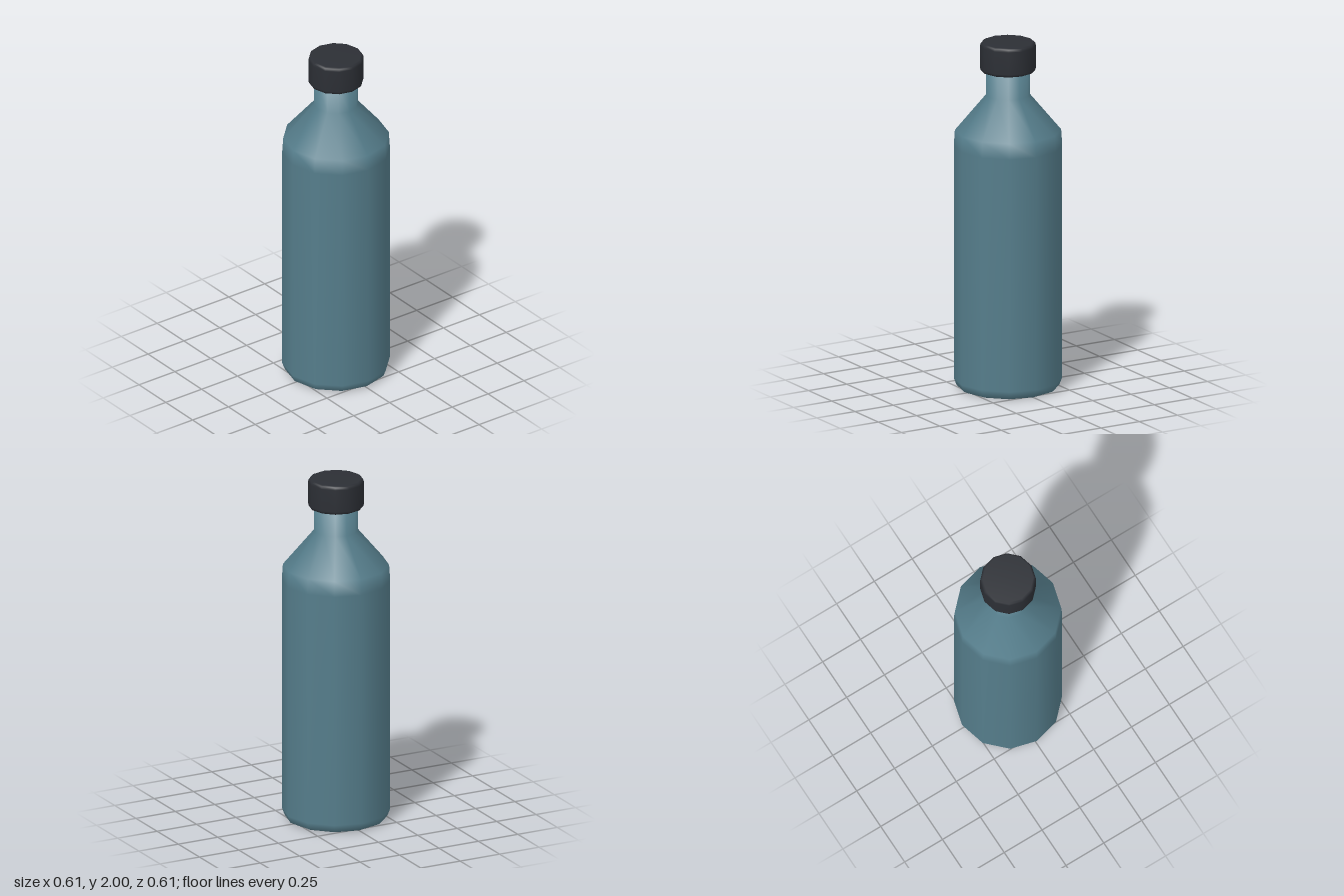
import * as THREE from 'three';

const SIDES = 12;

// Turns a [radius, height] profile, listed from bottom to top, into a 12-sided smooth part.
function turned(name, profile, color) {
  const points = profile.map(([r, y]) => new THREE.Vector2(r, y));
  const mesh = new THREE.Mesh(
    new THREE.LatheGeometry(points, SIDES),
    new THREE.MeshStandardMaterial({ color })
  );
  mesh.name = name;
  return mesh;
}

export function createModel() {
  const bottle = new THREE.Group();
  bottle.name = 'bottle';

  // Body with rounded foot, sloping shoulder and straight neck, closed under the cap
  bottle.add(turned('body', [
    [0, 0], [0.27, 0], [0.288, 0.01], [0.303, 0.05],
    [0.303, 1.4], [0.297, 1.49],
    [0.124, 1.695], [0.124, 1.85], [0, 1.85],
  ], 0x557d8b));

  // Screw cap with softened rims
  bottle.add(turned('cap', [
    [0, 1.832], [0.142, 1.832], [0.152, 1.836], [0.156, 1.85],
    [0.156, 1.98], [0.152, 1.994], [0.142, 2], [0, 2],
  ], 0x2c2f35));

  return bottle;
}
